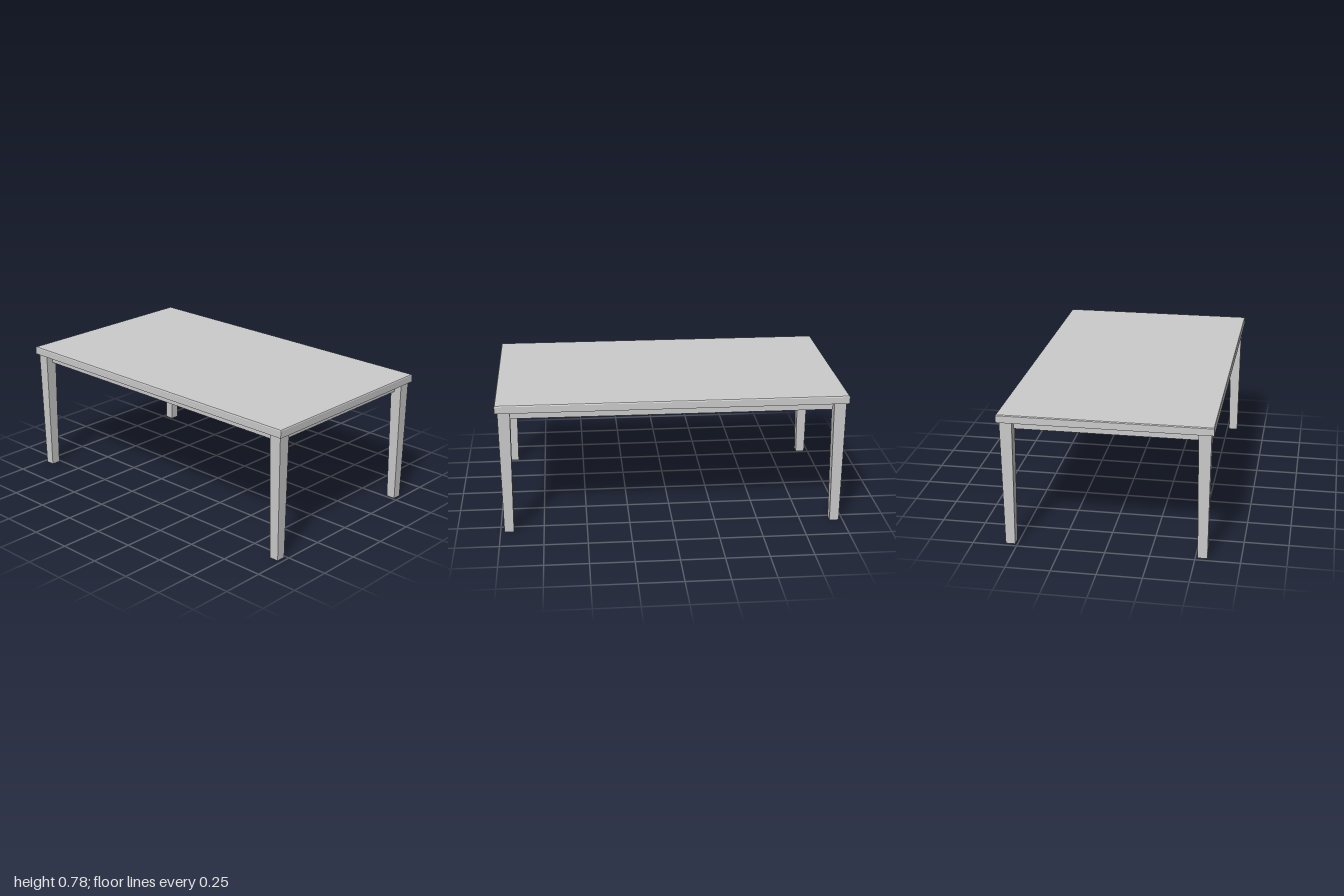
import * as THREE from 'three';

const material = new THREE.MeshStandardMaterial({ color: 0xcccccc, flatShading: true });

// Rectangular block whose half-width and half-depth follow rows of [y, halfX, halfZ], bottom to top
function block(name, rows) {
  const n = rows.length - 1;
  const boxed = new THREE.BoxGeometry(2, n, 2, 1, n, 1);
  const pos = boxed.attributes.position;
  for (let i = 0; i < pos.count; i++) {
    const [y, hx, hz] = rows[Math.round(pos.getY(i) + n / 2)];
    pos.setXYZ(i, pos.getX(i) * hx, y, pos.getZ(i) * hz);
  }
  const geometry = boxed.toNonIndexed();
  geometry.computeVertexNormals();
  const mesh = new THREE.Mesh(geometry, material);
  mesh.name = name;
  return mesh;
}

export function createModel() {
  const table = new THREE.Group();
  table.name = 'table';

  // Top slab with a fine chamfer around its upper edge
  table.add(block('tableTop', [
    [0.735, 1, 0.59],
    [0.775, 1, 0.59],
    [0.78, 0.997, 0.587],
  ]));

  // Closed apron block, set back under the top
  table.add(block('apron', [
    [0.683, 0.942, 0.532],
    [0.735, 0.942, 0.532],
  ]));

  // Four square legs tapering to the floor
  for (const [side, sx] of [['Left', 1], ['Right', -1]]) {
    for (const [end, sz] of [['front', 1], ['back', -1]]) {
      const leg = block(`${end}${side}Leg`, [
        [0, 0.027, 0.027],
        [0.735, 0.035, 0.035],
      ]);
      leg.position.set(sx * 0.95, 0, sz * 0.54);
      table.add(leg);
    }
  }

  return table;
}
